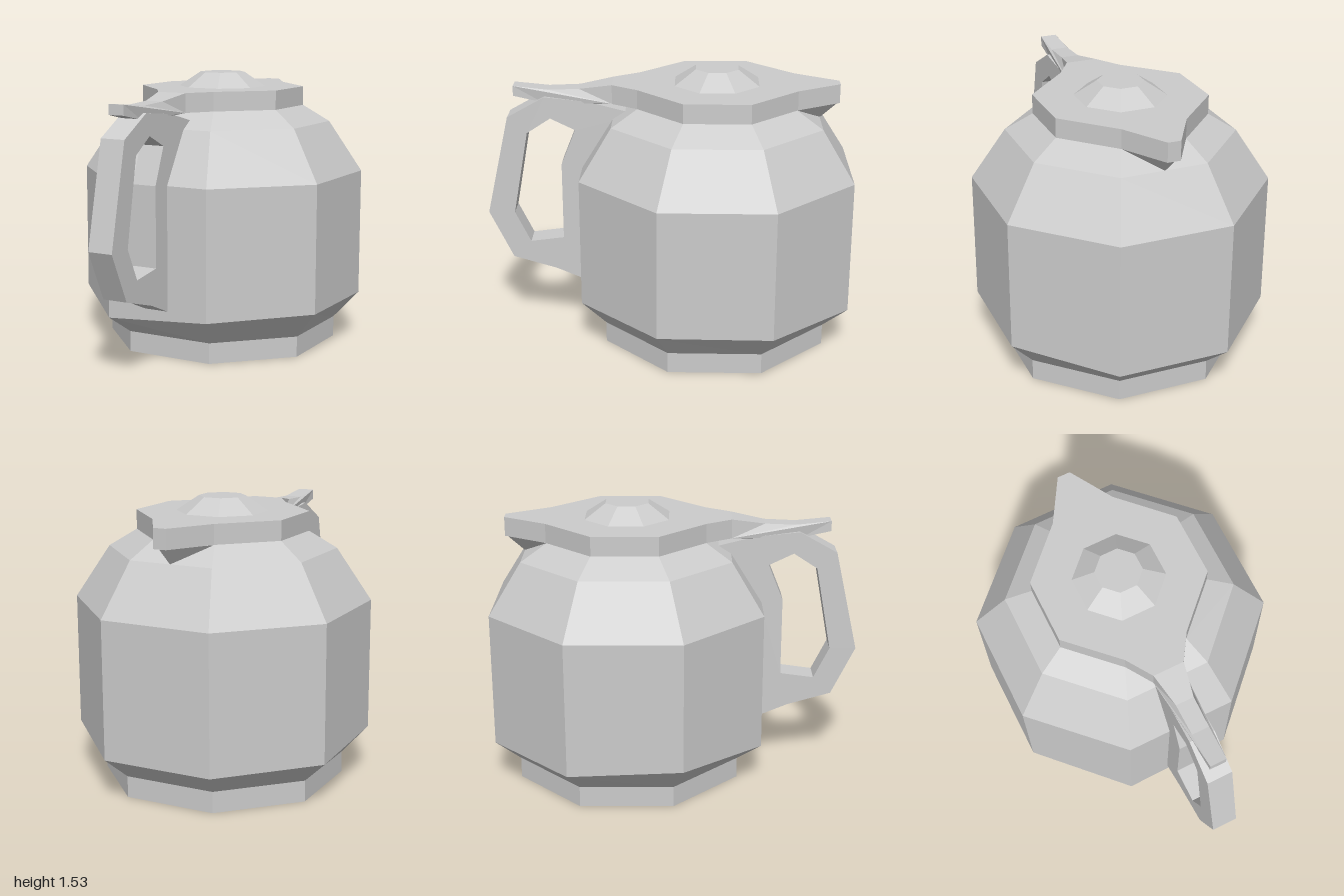
import * as THREE from 'three';

const material = new THREE.MeshStandardMaterial({ color: 0xcccccc, flatShading: true });
const thin = new THREE.MeshStandardMaterial({ color: 0xcccccc, flatShading: true, side: THREE.DoubleSide });
const AXIS_Z = -0.265; // centre line of the pot
const APOTHEM = Math.cos(Math.PI / 8);

const toPoints = (list) => list.map(([a, b]) => new THREE.Vector2(a, b));

// Octagonal turned solid from [distance to flat side, height] pairs
function octagonLathe(profile) {
  const points = toPoints(profile.map(([r, y]) => [r / APOTHEM, y]));
  return new THREE.LatheGeometry(points, 8, Math.PI / 8);
}

// Side outline given as [z, y], extruded symmetrically across x
function sideExtrude(outline, width, hole) {
  const shape = new THREE.Shape(toPoints(outline));
  if (hole) shape.holes.push(new THREE.Path(toPoints(hole)));
  return new THREE.ExtrudeGeometry(shape, { depth: width, bevelEnabled: false })
    .translate(0, 0, -width / 2)
    .rotateY(-Math.PI / 2);
}

export function createModel() {
  const group = new THREE.Group();
  const add = (name, geometry, mat = material) => {
    const mesh = new THREE.Mesh(geometry, mat);
    mesh.name = name;
    group.add(mesh);
    return mesh;
  };

  // Foot
  add('foot', octagonLathe([[0, 0], [0.605, 0], [0.605, 0.115]])).position.z = AXIS_Z;

  // Body, with a slightly uneven lower rim
  const profile = [[0.605, 0.115], [0.735, 0.26], [0.735, 0.975], [0.563, 1.255], [0.425, 1.345], [0, 1.345]];
  const body = octagonLathe(profile);
  [0.26, 0.268, 0.265, 0.235, 0.235, 0.24, 0.265, 0.215, 0.26].forEach((y, i) => {
    body.attributes.position.setY(i * profile.length + 1, y);
  });
  add('body', body).position.z = AXIS_Z;

  // Pouring lip: a small beak below the point of the lid
  const spout = new THREE.BufferGeometry();
  spout.setAttribute('position', new THREE.Float32BufferAttribute([
    -0.175, 1.343, -0.69, 0.175, 1.343, -0.69, 0, 1.343, -0.93, 0, 1.255, -0.83,
  ], 3));
  spout.setIndex([0, 1, 2, 0, 2, 3, 2, 1, 3]);
  spout.computeVertexNormals();
  add('spout', spout, thin);

  // Lid plate, outlined on its right half as [x, z] and mirrored
  const half = [[0.035, -0.93], [0.175, -0.695], [0.425, -0.44], [0.425, -0.088], [0.175, 0.16], [0.085, 0.3]];
  const outline = [...half, ...half.map(([x, z]) => [-x, z]).reverse()];
  const lid = new THREE.ExtrudeGeometry(
    new THREE.Shape(toPoints(outline.map(([x, z]) => [x, -z]))),
    { depth: 0.105, bevelEnabled: false },
  ).rotateX(-Math.PI / 2).translate(0, 1.345, 0);
  add('lid', lid);

  // Knob
  add('knob', octagonLathe([[0.228, 1.449], [0.115, 1.53], [0, 1.53]])).position.z = AXIS_Z;

  // Thumb lever, narrowing away from the lid
  const lever = sideExtrude([
    [0.3, 1.345], [0.48, 1.333], [0.68, 1.34], [0.84, 1.375],
    [0.84, 1.43], [0.65, 1.411], [0.48, 1.418], [0.3, 1.45],
  ], 2);
  const p = lever.attributes.position;
  for (let i = 0; i < p.count; i++) {
    const z = p.getZ(i);
    const w = z < 0.48 ? THREE.MathUtils.mapLinear(z, 0.3, 0.48, 0.085, 0.05)
      : THREE.MathUtils.mapLinear(z, 0.48, 0.84, 0.05, 0.045);
    p.setX(i, p.getX(i) * w);
  }
  lever.computeVertexNormals();
  add('thumbLever', lever);

  // Handle
  add('handle', sideExtrude([
    [0.465, 0.295], [0.63, 0.365], [0.87, 0.435], [1.0, 0.705], [0.875, 1.26],
    [0.67, 1.375], [0.43, 1.35], [0.23, 1.3], [0.28, 1.25], [0.465, 0.97],
  ], 0.14, [
    [0.585, 0.555], [0.77, 0.53], [0.855, 0.705], [0.77, 1.17],
    [0.64, 1.255], [0.505, 1.19], [0.585, 0.99],
  ]));

  return group;
}
